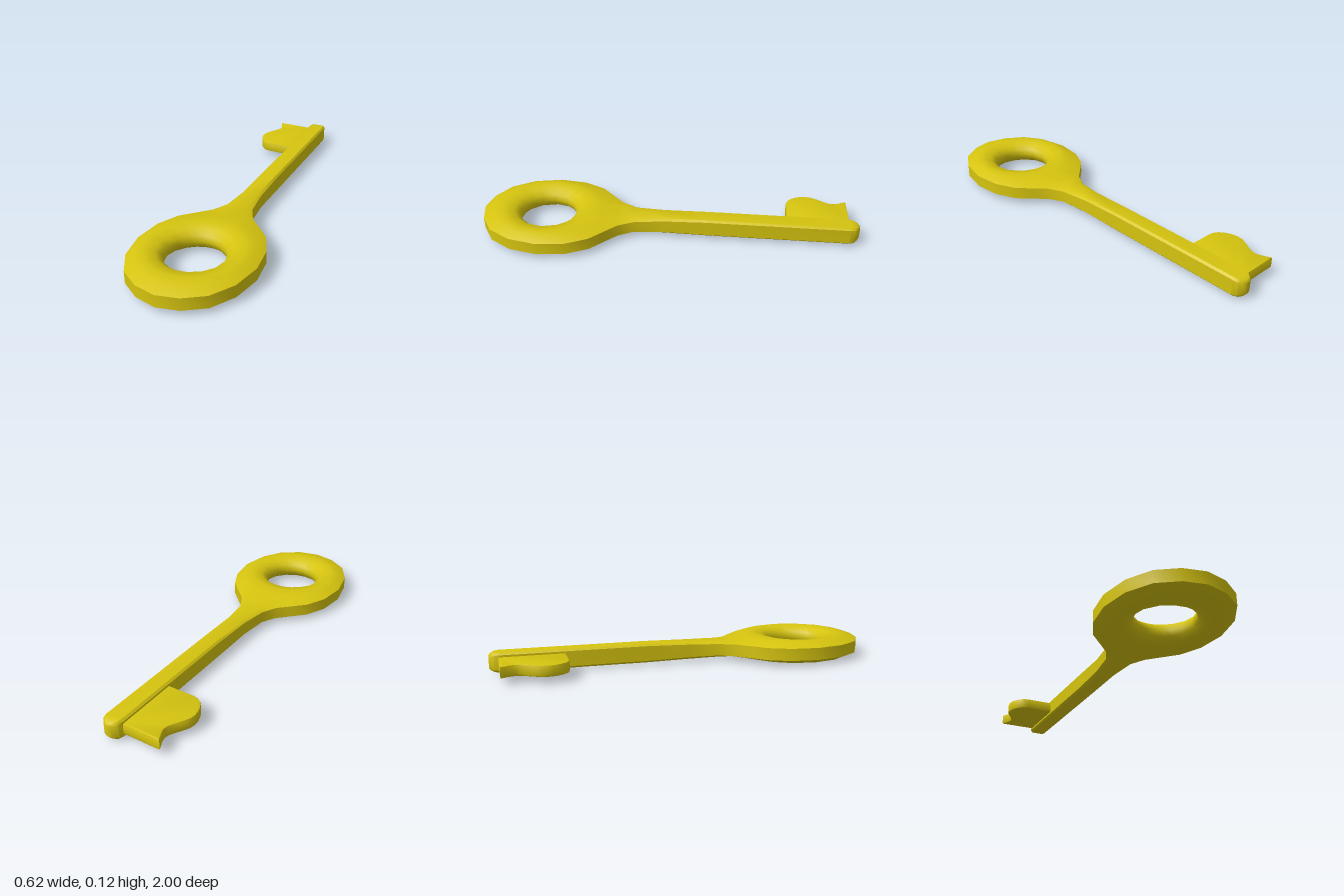
import * as THREE from 'three';
import { mergeGeometries, toCreasedNormals } from 'three/addons/utils/BufferGeometryUtils.js';

const MID = 0.063; // height of the key's middle plane

// Skin a row of equal-length closed cross-sections; optionally join last to first.
function loft(sections, closed) {
  const n = sections[0].length;
  const index = [];
  const rows = closed ? sections.length : sections.length - 1;
  for (let i = 0; i < rows; i++) {
    const k = (i + 1) % sections.length;
    for (let j = 0; j < n; j++) {
      const m = (j + 1) % n;
      const a = i * n + j, b = k * n + j, c = k * n + m, d = i * n + m;
      index.push(a, d, c, a, c, b);
    }
  }
  const geo = new THREE.BufferGeometry();
  geo.setAttribute('position', new THREE.Float32BufferAttribute(sections.flat(2), 3));
  geo.setIndex(index);
  return geo;
}

// Ring handle: profiles swept round the hole out to a pear-shaped outline
function bowGeometry() {
  const cz = 0.65, hole = 0.145, crest = 0.235;
  // x, z, half height at the rim
  const half = [
    [0, 1, 0.032], [0.11, 0.975, 0.032], [0.21, 0.91, 0.032], [0.28, 0.795, 0.032],
    [0.31, 0.645, 0.032], [0.292, 0.5, 0.032], [0.24, 0.39, 0.032], [0.17, 0.32, 0.032],
    [0.11, 0.26, 0.032], [0.06, 0.26, 0.042], [0, 0.26, 0.042],
  ];
  const mirrored = half.slice(1, -1).reverse().map(([x, z, h]) => [-x, z, h]);
  const sections = [...half, ...mirrored].map(([x, z, rim]) => {
    const R = Math.hypot(x, z - cz);
    const sx = x / R, sz = (z - cz) / R;
    const top = [
      [hole + 0.008, 0.028], [hole + 0.035, 0.051], [crest, 0.062],
      [crest + 0.45 * (R - crest), 0.055], [R, rim],
    ];
    const bottom = top.map(([r, h]) => [r, -h]).reverse();
    return [[hole, 0], ...top, ...bottom].map(([r, h]) => [sx * r, MID + h, cz + sz * r]);
  });
  return loft(sections, true);
}

// Neck and shank: bevelled rectangles running back to a rounded tip
function shankGeometry() {
  // z, half width, half height, bevel width, bevel height
  const stations = [
    [0.26, 0.11, 0.042, 0.05, 0.01], [0.18, 0.07, 0.042, 0.022, 0.011],
    [0.03, 0.052, 0.045, 0.012, 0.011], [-0.2, 0.049, 0.049, 0.01, 0.01],
    [-0.95, 0.049, 0.049, 0.01, 0.01], [-0.975, 0.043, 0.047, 0.01, 0.011],
    [-0.992, 0.028, 0.04, 0.01, 0.012], [-1, 0.012, 0.032, 0.006, 0.008],
    [-1, 0, 0, 0, 0],
  ];
  return loft(stations.map(([z, w, h, bw, bh]) => [
    [-w, h - bh], [-w + bw, h], [w - bw, h], [w, h - bh],
    [w, bh - h], [w - bw, -h], [-w + bw, -h], [-w, bh - h],
  ].map(([x, y]) => [x, MID + y, z])), false);
}

// Bit: a thin plate with a wavy outer edge
function bitGeometry() {
  const bevel = 0.008, depth = 0.042;
  const s = new THREE.Shape();
  s.moveTo(-0.03, 0.633);
  s.lineTo(-0.19, 0.633);
  s.bezierCurveTo(-0.235, 0.633, -0.267, 0.69, -0.267, 0.735);
  s.bezierCurveTo(-0.267, 0.79, -0.208, 0.83, -0.208, 0.88);
  s.quadraticCurveTo(-0.21, 0.905, -0.234, 0.947);
  s.lineTo(-0.03, 0.947);
  const geo = new THREE.ExtrudeGeometry(s, {
    depth, bevelSize: bevel, bevelThickness: bevel, bevelSegments: 2, curveSegments: 6,
  });
  geo.rotateX(-Math.PI / 2);
  geo.translate(0, MID - depth / 2, 0);
  return geo;
}

export function createModel() {
  const key = new THREE.Group();
  key.name = 'key';
  const brass = new THREE.MeshStandardMaterial({ color: 0xd6c40f });
  const add = (name, geo) => {
    const mesh = new THREE.Mesh(toCreasedNormals(geo, 0.75), brass);
    mesh.name = name;
    key.add(mesh);
  };
  add('bowAndShank', mergeGeometries([bowGeometry(), shankGeometry()]));
  add('bit', bitGeometry());
  return key;
}
